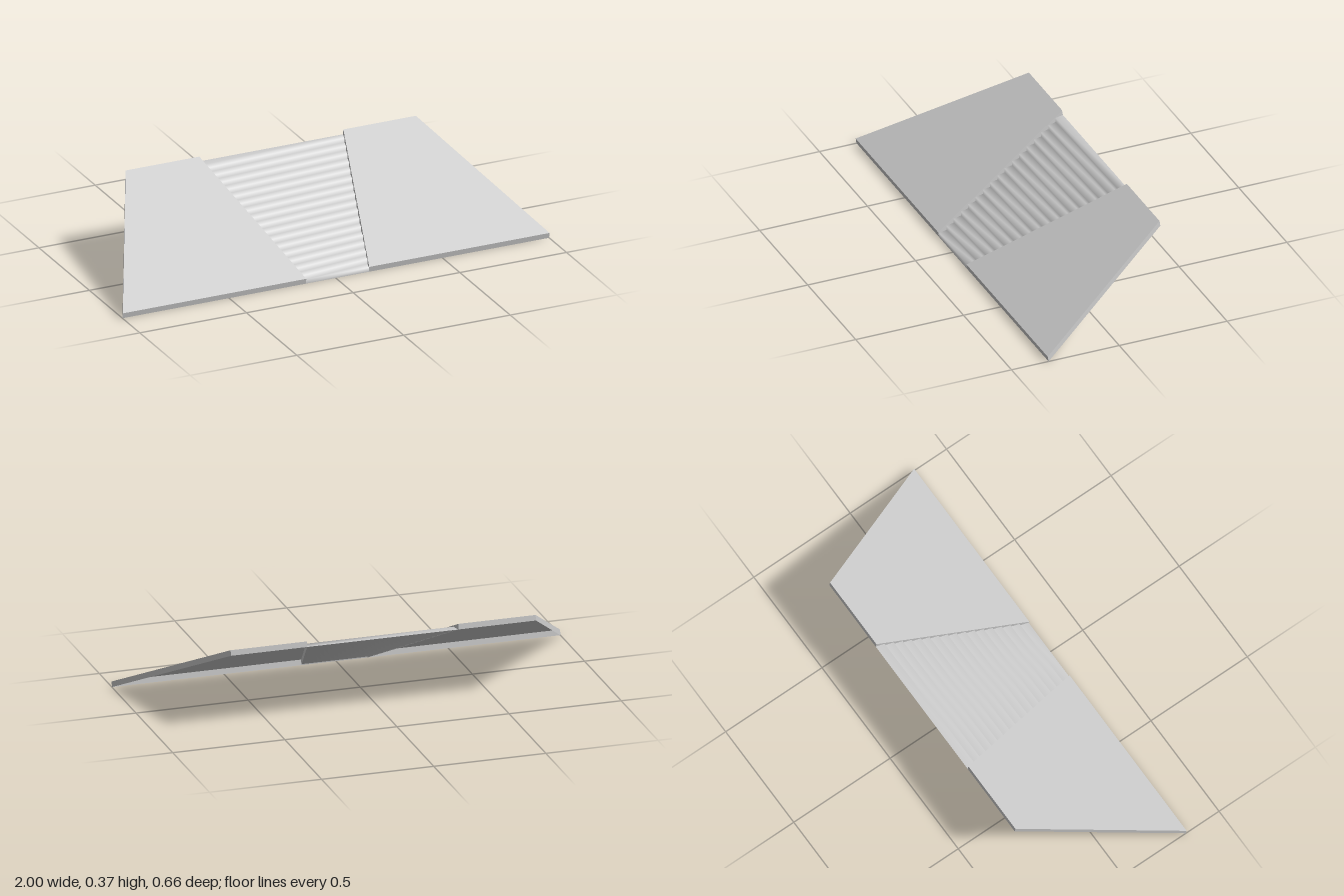
import * as THREE from 'three';

// Overall slope, front (low) to back (high)
const FRONT = { y: 0.025, z: 0.332 };
const BACK = { y: 0.366, z: -0.327 };
const DROP = { y: -0.024, z: -0.004 }; // from the upper edge to the lower edge
const STEPS = 17;

// x of each long edge, at the front and at the back
const EDGES = {
  rightOuter: [-1, -0.675],
  rightInner: [-0.14, -0.33],
  leftInner: [0.155, 0.345],
  leftOuter: [1, 0.685],
};

const material = () => new THREE.MeshStandardMaterial({ color: 0xcccccc, side: THREE.DoubleSide });

function buildMesh(name, positions, index, smooth) {
  let geometry = new THREE.BufferGeometry();
  geometry.setAttribute('position', new THREE.Float32BufferAttribute(positions, 3));
  geometry.setIndex(index);
  if (!smooth) geometry = geometry.toNonIndexed();
  geometry.computeVertexNormals();
  const mesh = new THREE.Mesh(geometry, material());
  mesh.name = name;
  return mesh;
}

// Sloping plate with a thin skirt all round, open underneath
function sidePanel(name, edgeA, edgeB) {
  const corners = [
    [edgeA[0], FRONT.y, FRONT.z],
    [edgeB[0], FRONT.y, FRONT.z],
    [edgeB[1], BACK.y, BACK.z],
    [edgeA[1], BACK.y, BACK.z],
  ];
  const lower = corners.map(([x, y, z]) => [x, y + DROP.y, z + DROP.z]);
  const index = [0, 1, 2, 0, 2, 3];
  for (let i = 0; i < 4; i++) {
    const j = (i + 1) % 4;
    index.push(i + 4, j + 4, j, i + 4, j, i);
  }
  return buildMesh(name, [...corners, ...lower].flat(), index, false);
}

// Folded sheet of risers and treads that widens towards the top
function staircase() {
  const positions = [];
  const index = [];
  const y0 = FRONT.y + DROP.y, z0 = FRONT.z + DROP.z;
  const rise = (BACK.y - FRONT.y) / STEPS;
  const run = (FRONT.z - BACK.z) / STEPS;
  const addRow = (up, along) => {
    const t = along / STEPS;
    for (const edge of [EDGES.rightInner, EDGES.leftInner]) {
      positions.push(THREE.MathUtils.lerp(edge[0], edge[1], t), y0 + rise * up, z0 - run * along);
    }
  };
  addRow(0, 0);
  for (let i = 0; i < STEPS; i++) {
    addRow(i + 1, i);
    addRow(i + 1, i + 1);
  }
  for (let r = 0; r < STEPS * 2; r++) {
    const a = r * 2;
    index.push(a, a + 1, a + 3, a, a + 3, a + 2);
  }
  return buildMesh('stairs', positions, index, true);
}

export function createModel() {
  const group = new THREE.Group();
  group.name = 'slopedStairway';
  group.add(
    sidePanel('rightSlope', EDGES.rightOuter, EDGES.rightInner),
    sidePanel('leftSlope', EDGES.leftInner, EDGES.leftOuter),
    staircase(),
  );
  return group;
}
